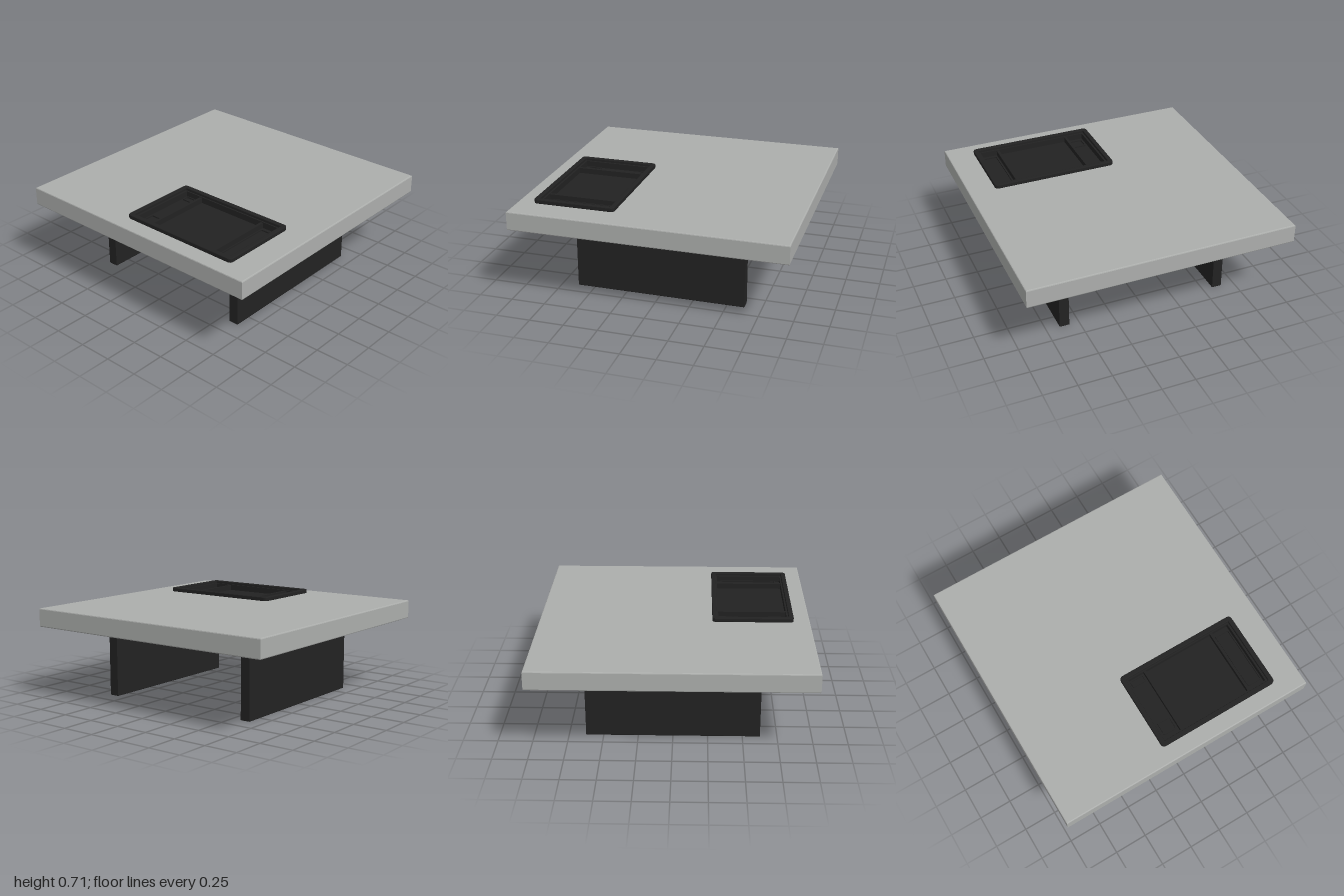
import * as THREE from 'three';

const grey = new THREE.MeshStandardMaterial({ color: 0xacaeac });
grey.name = 'stone grey';
const black = new THREE.MeshStandardMaterial({ color: 0x222222 });
black.name = 'charcoal black';

// Rectangle from x0..x1 and z0..z1 with rounded corners, in plan
function outline(Type, x0, x1, z0, z1, r = 0) {
  const s = new Type();
  if (r === 0) {
    s.moveTo(x0, -z1).lineTo(x1, -z1).lineTo(x1, -z0).lineTo(x0, -z0).closePath();
    return s;
  }
  s.moveTo(x0 + r, -z1);
  s.lineTo(x1 - r, -z1).quadraticCurveTo(x1, -z1, x1, -z1 + r);
  s.lineTo(x1, -z0 - r).quadraticCurveTo(x1, -z0, x1 - r, -z0);
  s.lineTo(x0 + r, -z0).quadraticCurveTo(x0, -z0, x0, -z0 - r);
  s.lineTo(x0, -z1 + r).quadraticCurveTo(x0, -z1, x0 + r, -z1);
  return s;
}

// Horizontal slab between y0 and y1, with an optional opening and bevelled edges
function slab(name, material, rect, y0, y1, { hole, r = 0, holeR = 0, bevel = 0 } = {}) {
  const [x0, x1, z0, z1] = rect;
  const shape = outline(THREE.Shape, x0 + bevel, x1 - bevel, z0 + bevel, z1 - bevel, r);
  if (hole) {
    const [a, b, c, d] = hole;
    shape.holes.push(outline(THREE.Path, a - bevel, b + bevel, c - bevel, d + bevel, holeR));
  }
  const geometry = new THREE.ExtrudeGeometry(shape, {
    depth: y1 - y0 - 2 * bevel,
    bevelEnabled: bevel > 0,
    bevelSize: bevel,
    bevelThickness: bevel,
    bevelSegments: 2,
    curveSegments: 4,
  });
  geometry.rotateX(-Math.PI / 2).translate(0, y0 + bevel, 0);
  const mesh = new THREE.Mesh(geometry, material);
  mesh.name = name;
  return mesh;
}

export function createModel() {
  const model = new THREE.Group();
  model.name = 'coffeeTable';

  // Square top, with a lower layer closing the recess under the tray
  const recess = [-0.85, -0.31, -0.12, 0.77];
  model.add(slab('tabletop', grey, [-1, 1, -1, 1], 0.54, 0.68, { hole: recess, bevel: 0.008 }));
  model.add(slab('recessBase', grey, [-0.87, -0.29, -0.14, 0.79], 0.541, 0.6));

  // Two upright panel legs
  for (const side of [1, -1]) {
    const z = side * 0.612;
    model.add(slab(side > 0 ? 'frontLeg' : 'backLeg', black,
      [-0.627, 0.627, z - 0.037, z + 0.037], 0, 0.545, { bevel: 0.004 }));
  }

  // Inset organiser tray
  const tray = new THREE.Group();
  tray.name = 'tray';
  const add = (name, rect, y0, y1, options) => tray.add(slab(name, black, rect, y0, y1, options));
  add('trayRim', [-0.88, -0.28, -0.15, 0.8], 0.678, 0.71,
    { hole: [-0.845, -0.315, -0.115, 0.765], r: 0.025, holeR: 0.01, bevel: 0.005 });
  add('trayWall', [-0.855, -0.305, -0.125, 0.775], 0.61, 0.69,
    { hole: [-0.832, -0.325, -0.1, 0.75] });
  add('trayFloor', [-0.85, -0.31, -0.12, 0.77], 0.6, 0.645);

  // Cross dividers
  for (const z of [0.04, 0.61]) add('trayDivider', [-0.835, -0.32, z - 0.01, z + 0.01], 0.64, 0.685);

  // Low frames around the pockets
  const pocket = (name, [a, b, c, d]) => add(name, [a, b, c, d], 0.645, 0.655,
    { hole: [a + 0.008, b - 0.008, c + 0.008, d - 0.008], r: 0.015, holeR: 0.012 });
  pocket('backLeftPocket', [-0.8, -0.7, -0.085, 0.02]);
  pocket('backRightPocket', [-0.385, -0.33, -0.09, 0.02]);
  pocket('frontPocket', [-0.8, -0.355, 0.63, 0.745]);
  model.add(tray);

  return model;
}
